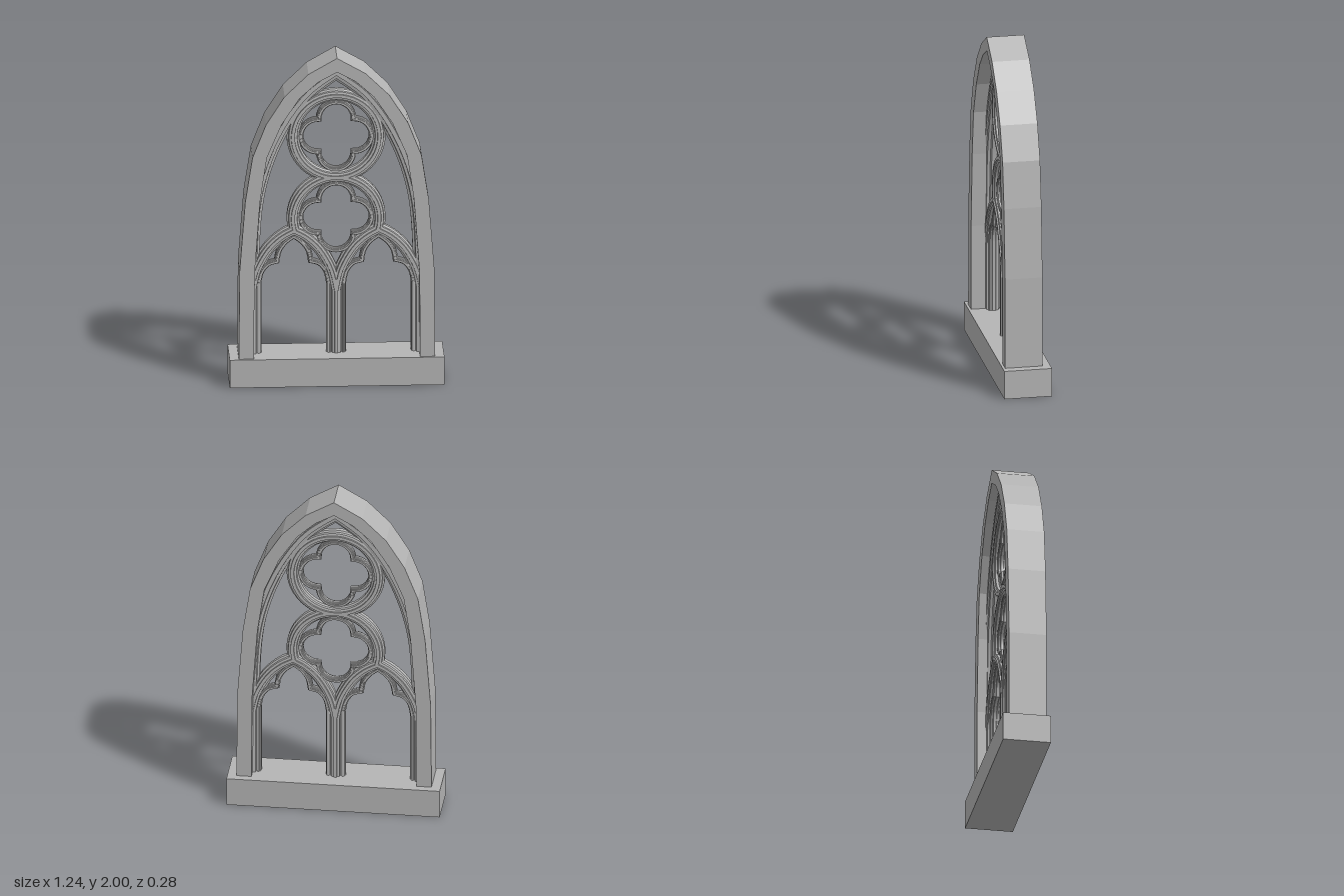
import * as THREE from 'three';
import { toCreasedNormals } from 'three/addons/utils/BufferGeometryUtils.js';

const stone = new THREE.MeshStandardMaterial({ color: 0xb4b4b4 });
stone.name = 'stone';

// Symmetrical moulding section with stepped chamfers, counter-clockwise in (across, z)
function moulding(w, d) {
  const q = [[1, 0.3], [0.72, 0.42], [0.66, 0.75], [0.3, 0.82], [0.26, 1]].map(([a, b]) => [a * w, b * d]);
  const half = [...q, ...[...q].reverse().map(([a, b]) => [-a, b])];
  return [...half, ...half.map(([a, b]) => [-a, -b])];
}

// Sweep a section along a planar path with mitred corners
function sweep(path, section, closed = false) {
  const n = path.length, m = section.length, pos = [], idx = [];
  const dir = (a, b) => b.clone().sub(a).normalize();
  path.forEach((p, i) => {
    const prev = path[(i + n - 1) % n], next = path[(i + 1) % n];
    const t1 = !closed && i === 0 ? dir(p, next) : dir(prev, p);
    const t2 = !closed && i === n - 1 ? t1 : dir(p, next);
    const t = t1.clone().add(t2).normalize();
    const k = Math.min(2, 1 / Math.max(0.1, t.dot(t1)));
    for (const [u, z] of section) pos.push(p.x - t.y * u * k, p.y + t.x * u * k, z);
  });
  for (let i = 0; i < (closed ? n : n - 1); i++) {
    const r0 = i * m, r1 = ((i + 1) % n) * m;
    for (let j = 0; j < m; j++) {
      const k = (j + 1) % m;
      idx.push(r0 + j, r0 + k, r1 + k, r0 + j, r1 + k, r1 + j);
    }
  }
  if (!closed) {
    const s = pos.length / 3, last = (n - 1) * m;
    pos.push(path[0].x, path[0].y, 0, path[n - 1].x, path[n - 1].y, 0);
    for (let j = 0; j < m; j++) {
      const k = (j + 1) % m;
      idx.push(s, k, j, s + 1, last + j, last + k);
    }
  }
  const g = new THREE.BufferGeometry();
  g.setAttribute('position', new THREE.Float32BufferAttribute(pos, 3));
  g.setIndex(idx);
  return toCreasedNormals(g, 0.45);
}

const vecs = (pts) => pts.map(([x, y]) => new THREE.Vector2(x, y));
const smooth = (pts, n = 16) => new THREE.SplineCurve(vecs(pts)).getPoints(n);

// Mirror a left half path about x = 0 (its last point lies on the axis), then shift it
function arch(half, cx = 0) {
  const right = half.slice(0, -1).reverse().map((p) => new THREE.Vector2(-p.x, p.y));
  return [...half, ...right].map((p) => new THREE.Vector2(p.x + cx, p.y));
}

function arc(cx, cy, r, from, to, n) {
  return Array.from({ length: n + 1 }, (_, i) => {
    const a = from + ((to - from) * i) / n;
    return new THREE.Vector2(cx + r * Math.cos(a), cy + r * Math.sin(a));
  });
}

export function createModel() {
  const group = new THREE.Group();
  const add = (name, geometry) => {
    const mesh = new THREE.Mesh(geometry, stone);
    mesh.name = name;
    group.add(mesh);
    return mesh;
  };
  const main = moulding(0.036, 0.045), fine = moulding(0.016, 0.028);

  // Sill
  add('sill', new THREE.BoxGeometry(1.24, 0.17, 0.28)).position.y = 0.085;

  // Faceted outer frame
  const outer = arch(vecs([[-0.567, 0.17], [-0.562, 0.71], [-0.53, 1.13], [-0.488, 1.4],
    [-0.41, 1.6], [-0.303, 1.77], [-0.165, 1.905], [0, 2]]));
  const inner = arch(vecs([[-0.48, 0.17], [-0.477, 0.68], [-0.445, 1.13], [-0.405, 1.4],
    [-0.32, 1.6], [-0.215, 1.76], [-0.11, 1.855], [0, 1.915]]));
  const frame = new THREE.ExtrudeGeometry(new THREE.Shape([...outer, ...inner.reverse()]),
    { depth: 0.22, bevelEnabled: false });
  add('outerFrame', toCreasedNormals(frame, 0.05)).position.z = -0.095;

  // Moulded border inside the frame
  const border = [new THREE.Vector2(-0.495, 0.165), ...smooth([[-0.495, 0.6], [-0.483, 0.95],
    [-0.452, 1.18], [-0.384, 1.4], [-0.284, 1.6], [-0.16, 1.763], [0, 1.885]], 28)];
  add('borderMoulding', sweep(arch(border), moulding(0.048, 0.05)));

  // Central mullion
  add('mullion', sweep(vecs([[0, 0.165], [0, 0.62]]), main));

  // Two lancets, each a pointed arch with a cusped trefoil head inside
  const lancet = smooth([[-0.245, 0.55], [-0.215, 0.68], [-0.15, 0.8], [-0.075, 0.875], [0, 0.918]]);
  const cusped = [
    new THREE.Vector2(-0.203, 0.165),
    ...smooth([[-0.203, 0.59], [-0.188, 0.66], [-0.15, 0.71], [-0.098, 0.727]], 10),
    ...smooth([[-0.098, 0.727], [-0.085, 0.79], [-0.05, 0.842], [0, 0.88]], 10).slice(1),
  ];
  for (const side of [-1, 1]) {
    const name = side > 0 ? 'left' : 'right';
    add(name + 'LancetArch', sweep(arch(lancet, side * 0.245), main));
    add(name + 'LancetTrefoil', sweep(arch(cusped, side * 0.245), fine));
  }

  // Stacked rings: the upper is whole, the lower rests on the lancet arches
  const ring = arc(0, 1.49, 0.25, 0, Math.PI * 2, 48).slice(0, -1);
  add('upperRing', sweep(ring, main, true));
  add('lowerRing', sweep(arc(0, 0.99, 0.25, -0.28, Math.PI + 0.28, 32), main));

  // Four-lobed tracery in each ring
  for (const [name, cy] of [['upperQuatrefoil', 1.49], ['lowerQuatrefoil', 0.995]]) {
    const path = [];
    for (let i = 0; i < 4; i++) {
      const a = (i * Math.PI) / 2, open = 1.62;
      path.push(...arc(0.105 * Math.cos(a), cy + 0.105 * Math.sin(a), 0.1, a - open, a + open, 14).slice(0, -1));
    }
    add(name, sweep(path, fine, true));
  }
  return group;
}
